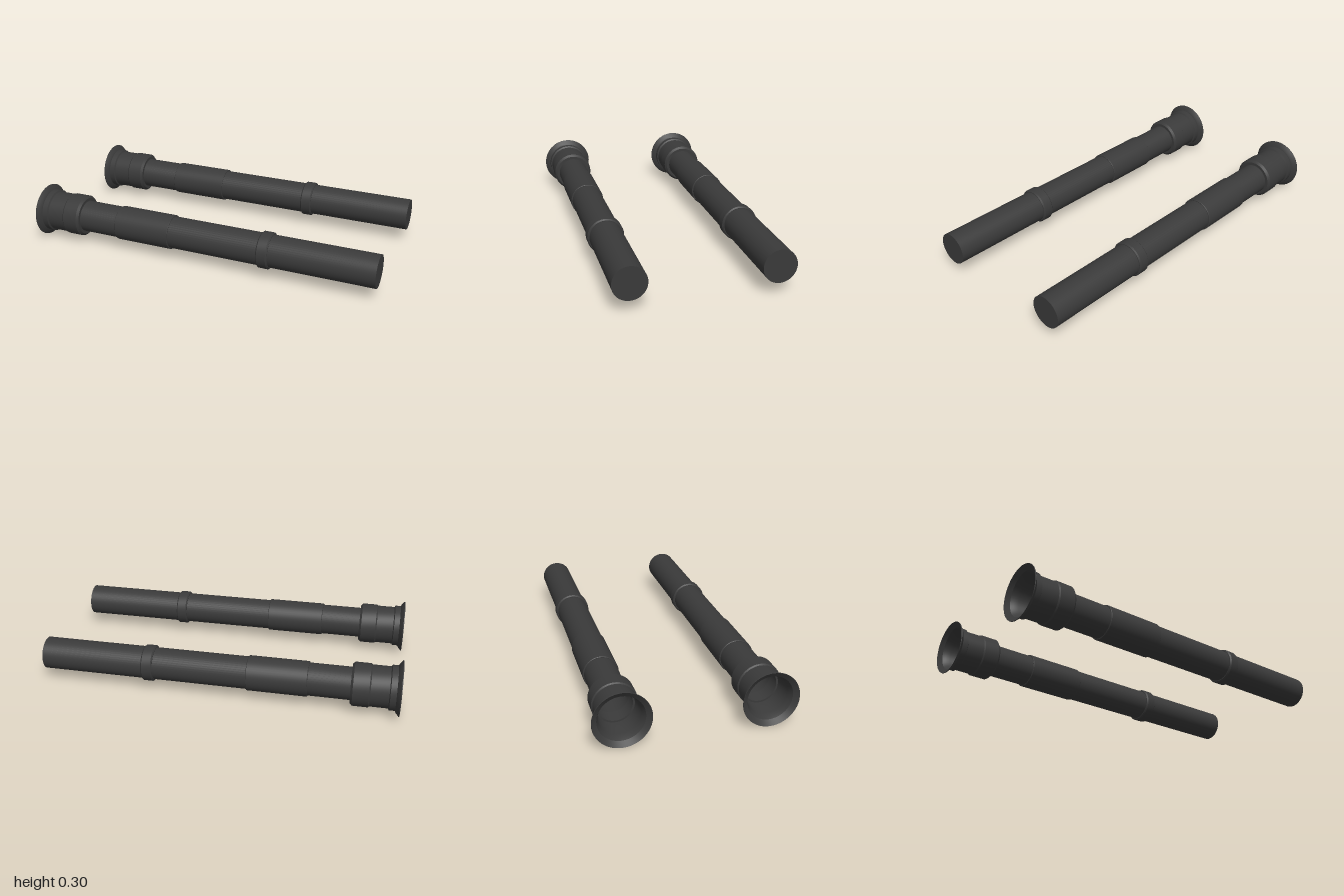
import * as THREE from 'three';
import { toCreasedNormals } from 'three/addons/utils/BufferGeometryUtils.js';

const SIDES = 48;
const AXIS_Y = 0.152;
const material = new THREE.MeshStandardMaterial({ color: 0x3a3a3a, side: THREE.DoubleSide });

// Revolves [x, radius] pairs around the x axis
function turned(name, profile) {
  const points = profile.map(([x, r]) => new THREE.Vector2(r, x));
  const geometry = new THREE.LatheGeometry(points, SIDES);
  geometry.rotateZ(-Math.PI / 2);
  const mesh = new THREE.Mesh(toCreasedNormals(geometry, 0.45), material);
  mesh.name = name;
  return mesh;
}

// Raised band with small bevels at both ends
function band(name, x0, x1, inner, outer, bevel) {
  return turned(name, [
    [x0, inner], [x0, outer - bevel], [x0 + bevel, outer],
    [x1 - bevel, outer], [x1, outer - bevel], [x1, inner],
  ]);
}

function createTube(name, z) {
  const tube = new THREE.Group();
  tube.name = name;
  tube.add(
    // Main pipe, open at the flared end and closed at the other
    turned('pipe', [[-0.76, 0.09], [1, 0.09], [1, 0]]),
    // Flared mouth with a stepped bore leading into the pipe
    turned('flaredMouth', [
      [-0.74, 0.09], [-0.85, 0.1], [-0.94, 0.108], [-0.965, 0.115],
      [-0.98, 0.122], [-1, 0.15], [-0.996, 0.151], [-0.978, 0.13],
      [-0.975, 0.122], [-0.943, 0.122], [-0.938, 0.113], [-0.84, 0.113],
    ]),
    band('socketCollar', -0.845, -0.735, 0.09, 0.119, 0.012),
    band('gripSleeve', -0.505, -0.17, 0.09, 0.097, 0.003),
    band('clampRing', 0.355, 0.42, 0.09, 0.101, 0.007),
  );
  tube.position.set(0, AXIS_Y, z);
  return tube;
}

export function createModel() {
  const model = new THREE.Group();
  model.name = 'tubePair';
  model.add(createTube('frontTube', 0.38), createTube('backTube', -0.38));
  return model;
}
